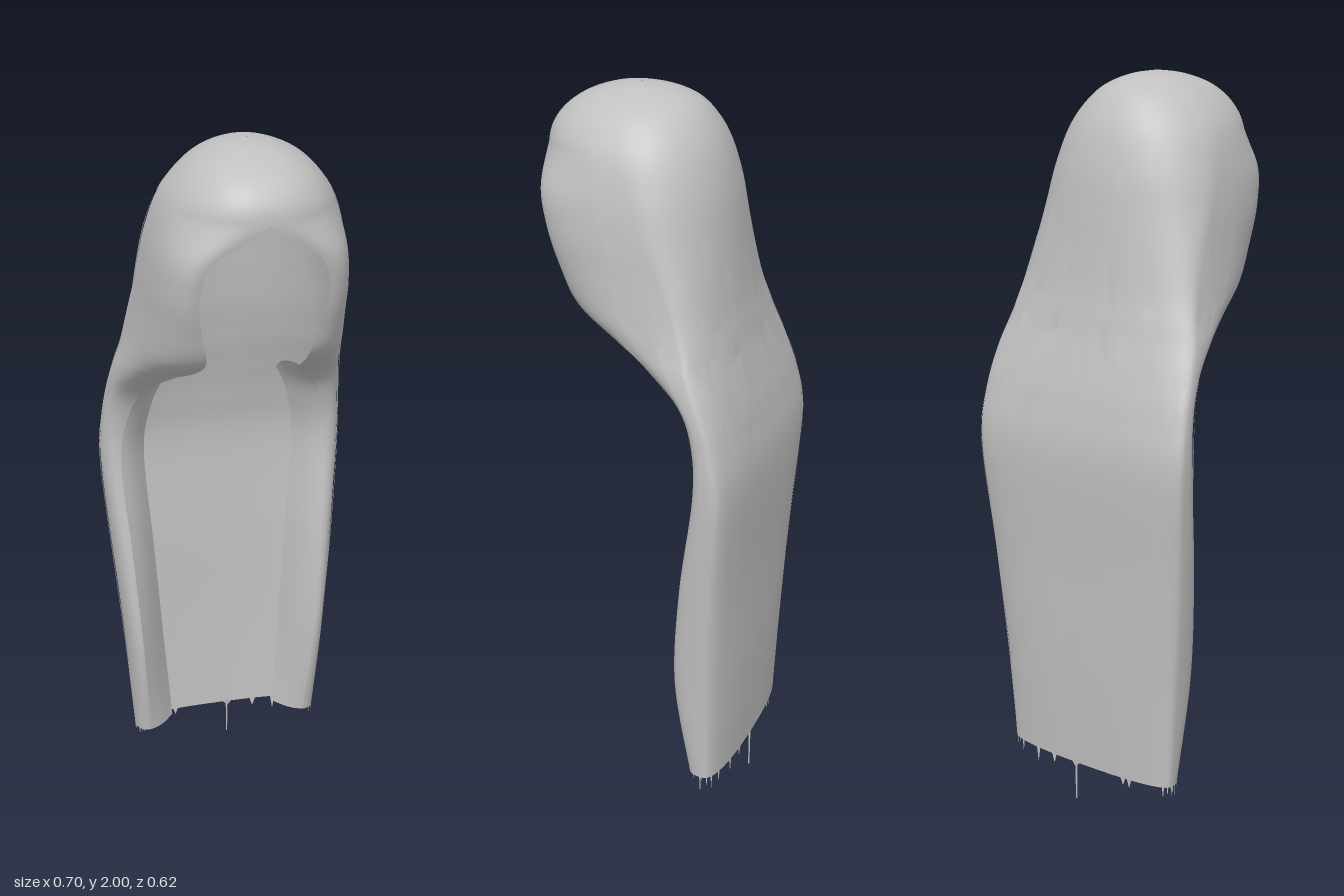
import * as THREE from 'three';

// Horizontal cross-sections from hem to crown:
// [y, back z, half width, z of widest point, front edge x, front edge z]
const ROWS = [
  [0.11, -0.268, 0.28, -0.22, 0.24, -0.17],
  [0.4, -0.285, 0.3, -0.22, 0.26, -0.13],
  [0.7, -0.295, 0.325, -0.235, 0.28, -0.15],
  [1.0, -0.308, 0.348, -0.26, 0.3, -0.195],
  [1.15, -0.288, 0.343, -0.24, 0.28, -0.185],
  [1.25, -0.265, 0.333, -0.205, 0.24, -0.135],
  [1.33, -0.245, 0.318, -0.17, 0.18, -0.02],
  [1.38, -0.235, 0.304, -0.155, 0.145, 0.08],
  [1.45, -0.222, 0.288, -0.13, 0.135, 0.19],
  [1.55, -0.21, 0.275, -0.09, 0.155, 0.235],
  [1.65, -0.2, 0.266, -0.04, 0.165, 0.265],
  [1.75, -0.187, 0.252, 0, 0.135, 0.29],
  [1.845, -0.162, 0.226, 0.035, 0, 0.308],
  [1.91, -0.13, 0.187, 0.055, 0, 0.287],
  [1.96, -0.085, 0.133, 0.065, 0, 0.23],
  [1.99, -0.015, 0.065, 0.07, 0, 0.148],
  [2.0, 0.068, 0.002, 0.07, 0, 0.072],
];
const LAST = ROWS.length - 1;
const BROW = 12; // row where the face opening closes

// Smoothly interpolated cross-section at row position t
function section(t) {
  const i = Math.min(LAST - 1, Math.floor(t)), f = t - i;
  const row = k => ROWS[Math.max(0, Math.min(LAST, k))];
  const [a, b, c, d] = [row(i - 1), row(i), row(i + 1), row(i + 2)];
  return b.map((p, k) => {
    const m0 = (c[k] - a[k]) / 2, m1 = (d[k] - p) / 2;
    return p + f * (m0 + f * (3 * (c[k] - p) - 2 * m0 - m1 + f * (2 * (p - c[k]) + m0 + m1)));
  });
}

// Point on the hair; u runs from one front edge (-1) round the back (0) to the other (1)
function hairPoint(u, t, lift = 0) {
  const [y, zb, w, zw, edge, ze] = section(t);
  const xe = t >= BROW ? 0 : Math.max(0, edge);
  // Squarest across the shoulders, rounder at the hem and head
  const n = 0.68 + 0.14 * THREE.MathUtils.smoothstep(1 - y, 0, 0.7) + 0.3 * THREE.MathUtils.smoothstep(y, 1, 1.45);
  const pow = v => Math.pow(Math.max(0, v), n);
  const a = Math.abs(u) * Math.PI, s = u < 0 ? -1 : 1;
  let x, z;
  if (a <= Math.PI / 2) {
    x = w * pow(Math.sin(a));
    z = zw + (zb - zw) * pow(Math.cos(a));
  } else {
    const b = a - Math.PI / 2;
    x = xe + (w - xe) * Math.pow(Math.max(0, Math.cos(b)), 0.85);
    z = zw + (ze - zw) * Math.pow(Math.sin(b), 0.9);
  }
  return [s * (x + lift * Math.sin(a)), y, z - lift * Math.cos(a)];
}

// Grid surface from a point rule over 0..1 by 0..1
function sheet(f, nu, nv) {
  const pos = [], idx = [];
  for (let j = 0; j <= nv; j++)
    for (let i = 0; i <= nu; i++) pos.push(...f(i / nu, j / nv));
  for (let j = 0; j < nv; j++)
    for (let i = 0; i < nu; i++) {
      const a = j * (nu + 1) + i, b = a + 1, c = a + nu + 1, d = c + 1;
      idx.push(a, c, b, b, c, d);
    }
  const g = new THREE.BufferGeometry();
  g.setAttribute('position', new THREE.Float32BufferAttribute(pos, 3));
  g.setIndex(idx);
  g.computeVertexNormals();
  return g;
}

export function createModel() {
  const group = new THREE.Group();
  group.name = 'longHair';
  const hair = new THREE.MeshStandardMaterial({ color: 0xc0c0c0, side: THREE.DoubleSide });
  hair.name = 'hairGrey';
  const add = (geometry, name) => {
    const mesh = new THREE.Mesh(geometry, hair);
    mesh.name = name;
    group.add(mesh);
  };
  let seed = 7;
  const rand = () => (seed = (seed * 16807) % 2147483647) / 2147483647;

  // Hood and long back curtain
  add(sheet((u, v) => hairPoint(u * 2 - 1, v * LAST), 96, 128), 'hairShell');

  // Inner layer inside the crown, ending in a stepped line behind the face
  add(sheet((u, v) => hairPoint((u * 2 - 1) * 0.8, 10 + v * 4, -0.012), 60, 24), 'innerCap');

  // Front edges folded inward along both sides, tapering out under the cheeks
  for (const s of [-1, 1])
    add(sheet((u, v) => {
      const [y, zb, , , xe, ze] = section(v * 6.4);
      const k = s > 0 ? 1 - u : u;
      const taper = THREE.MathUtils.clamp((1.35 - y) / 0.1, 0, 1);
      const bulge = 0.012 * Math.sin(Math.PI * k);
      return [s * (xe - 0.08 * k * taper), y, ze + ((zb + 0.03 - ze) * k + bulge) * taper];
    }, 8, 48), s > 0 ? 'leftFold' : 'rightFold');

  // Thin overlapping locks lying on the shell
  for (let i = 0; i < 50; i++) {
    const u0 = (rand() * 2 - 1) * 0.7, du = 0.02 + rand() * 0.03;
    const t0 = rand() * 8, dt = 2 + rand() * 3;
    add(sheet((u, v) => hairPoint(u0 + u * du, t0 + v * dt, 0.004 * Math.sin(Math.PI * v)), 3, 20), 'lock');
  }

  // Ragged tips below the hem
  for (let i = 0; i < 26; i++) {
    const u0 = (rand() * 2 - 1) * 0.85, drop = 0.01 + rand() * 0.035;
    add(sheet((u, v) => {
      const [x, y, z] = hairPoint(u0 + (u - 0.5) * 0.02 * v, 0);
      return [x, y - drop * (1 - v), z];
    }, 1, 2), 'hemTip');
  }

  // One long stray strand
  const strand = new THREE.CylinderGeometry(0.003, 0.002, 0.12, 5);
  strand.translate(0.02, 0.06, -0.268);
  add(strand, 'strayStrand');
  return group;
}
